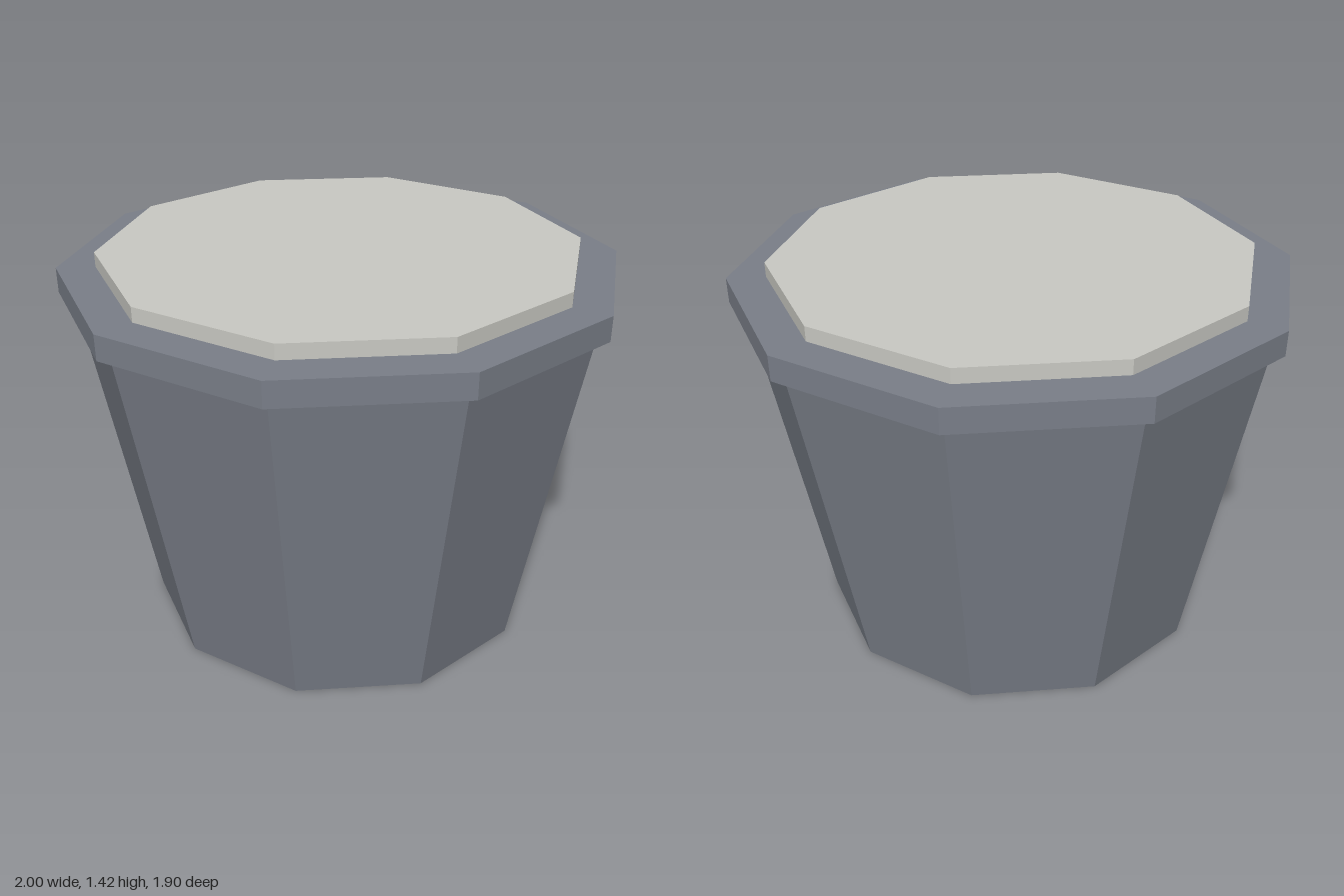
import * as THREE from 'three';

const SIDES = 10;

export function createModel() {
  const model = new THREE.Group();
  model.name = 'tub';

  const slate = new THREE.MeshStandardMaterial({ color: 0x7a7f89 });
  slate.name = 'slate grey';
  const pale = new THREE.MeshStandardMaterial({ color: 0xcacac4 });
  pale.name = 'pale grey';
  slate.flatShading = pale.flatShading = true;

  // Ten-sided ring section with corners pointing along +x and -x
  function section(name, bottomRadius, topRadius, y0, y1, material) {
    const geometry = new THREE.CylinderGeometry(
      topRadius, bottomRadius, y1 - y0, SIDES, 1, false, Math.PI / 2);
    geometry.translate(0, (y0 + y1) / 2, 0);
    const mesh = new THREE.Mesh(geometry, material);
    mesh.name = name;
    model.add(mesh);
  }

  section('body', 0.73, 0.955, 0, 1.28, slate);
  section('rim', 1, 1, 1.277, 1.367, slate);
  section('lid', 0.863, 0.863, 1.367, 1.42, pale);

  return model;
}
